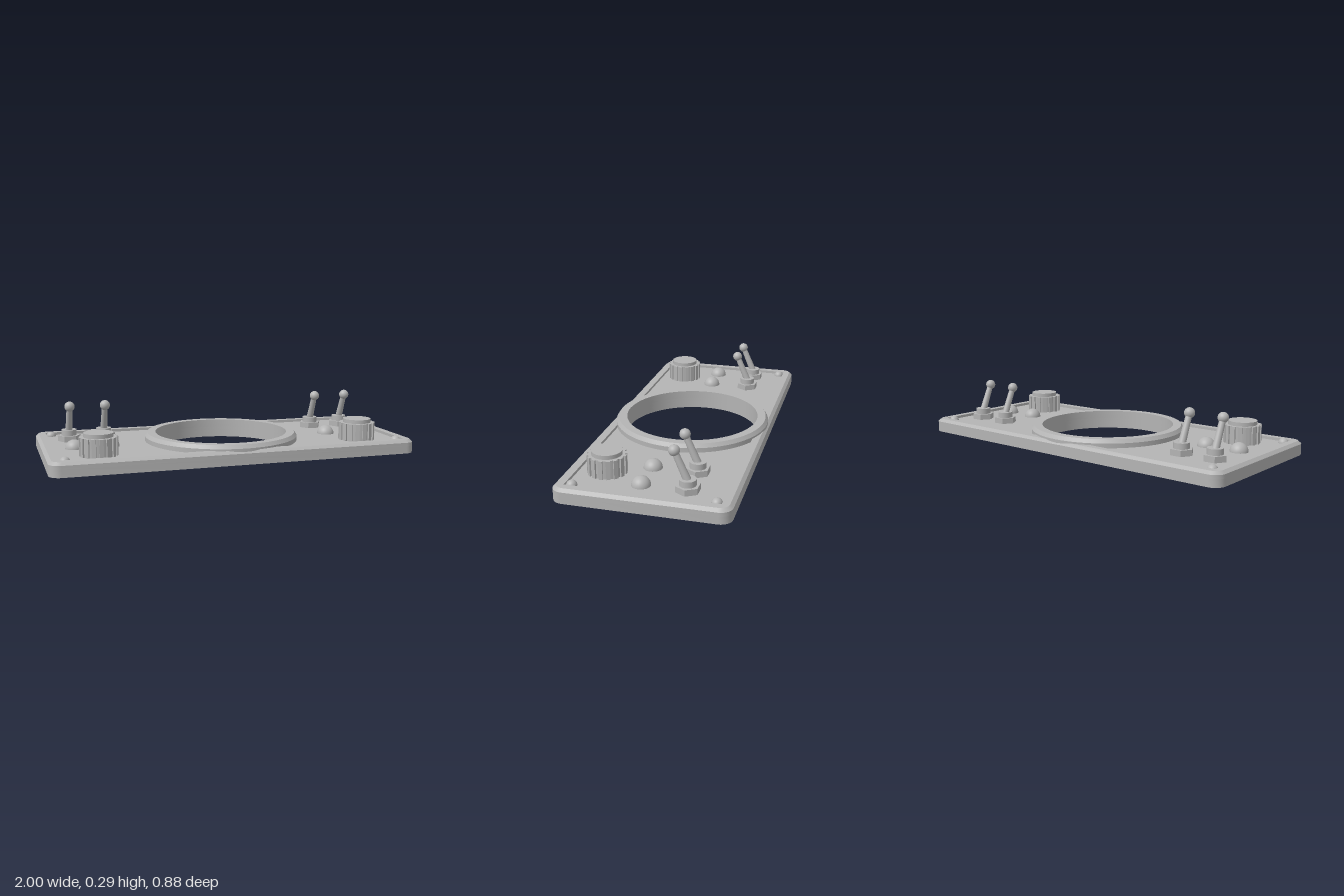
import * as THREE from 'three';
import { toCreasedNormals } from 'three/addons/utils/BufferGeometryUtils.js';

const metal = new THREE.MeshStandardMaterial({ color: 0xb4b4b4 });
metal.name = 'grey metal';

const FLOOR = 0.06; // recessed face of the panel
const HOLE = 0.37; // radius of the central opening

function add(parent, name, geometry, x = 0, y = 0, z = 0) {
  const mesh = new THREE.Mesh(geometry, metal);
  mesh.name = name;
  mesh.position.set(x, y, z);
  parent.add(mesh);
  return mesh;
}

// Rounded rectangle outline, counted the same for every radius
function outline(hx, hz, r) {
  const points = [];
  const signs = [[1, 1], [-1, 1], [-1, -1], [1, -1]];
  signs.forEach(([sx, sz], corner) => {
    for (let i = 0; i <= 8; i++) {
      const a = (corner + i / 8) * Math.PI / 2;
      points.push(new THREE.Vector2(sx * (hx - r) + r * Math.cos(a), sz * (hz - r) + r * Math.sin(a)));
    }
  });
  return points;
}

// Flat slab with round holes, given as [x, radius]
function slab(height, holes) {
  const shape = new THREE.Shape(outline(1, 0.438, 0.06));
  for (const [x, r] of holes) {
    shape.holes.push(new THREE.Path().absarc(x, 0, r, 0, Math.PI * 2, true));
  }
  const geometry = new THREE.ExtrudeGeometry(shape, { depth: height, bevelEnabled: false, curveSegments: 72 });
  return toCreasedNormals(geometry.rotateX(-Math.PI / 2), 0.4);
}

// Skin through closed outlines, each at its own height
function loft(sections) {
  const n = sections[0].points.length;
  const positions = [];
  const index = [];
  for (const { points, y } of sections) for (const p of points) positions.push(p.x, y, p.y);
  for (let k = 0; k < sections.length - 1; k++) {
    for (let i = 0; i < n; i++) {
      const a = k * n + i, b = k * n + (i + 1) % n;
      index.push(a, a + n, b, b, a + n, b + n);
    }
  }
  const geometry = new THREE.BufferGeometry();
  geometry.setAttribute('position', new THREE.Float32BufferAttribute(positions, 3));
  geometry.setIndex(index);
  geometry.computeVertexNormals();
  return toCreasedNormals(geometry, 0.4);
}

function dome(r) {
  return new THREE.SphereGeometry(r, 28, 12, 0, Math.PI * 2, 0, Math.PI / 2);
}

function knob() {
  const group = new THREE.Group();
  group.name = 'knob';
  const height = 0.097;
  add(group, 'knobBody', new THREE.CylinderGeometry(0.092, 0.092, height, 48), 0, height / 2, 0);
  add(group, 'knobCap', new THREE.CylinderGeometry(0.077, 0.077, 0.021, 48), 0, height + 0.0105, 0);
  // Grip ribs
  for (let i = 0; i < 16; i++) {
    const a = i / 16 * Math.PI * 2;
    const rib = add(group, 'knobRib', new THREE.BoxGeometry(0.02, height, 0.021),
      Math.cos(a) * 0.09, height / 2, Math.sin(a) * 0.09);
    rib.rotation.y = -a;
  }
  return group;
}

function toggleSwitch() {
  const group = new THREE.Group();
  group.name = 'toggleSwitch';
  // Hex nut with its points along x
  const nut = new THREE.CylinderGeometry(0.063, 0.063, 0.032, 6).toNonIndexed();
  nut.rotateY(Math.PI / 2);
  nut.computeVertexNormals();
  add(group, 'nut', nut, 0, 0.016, 0);
  add(group, 'collar', new THREE.CylinderGeometry(0.042, 0.042, 0.031, 32), 0, 0.0475, 0);
  // Lever leaning towards the front
  const base = new THREE.Vector3(0, 0.05, 0);
  const tip = new THREE.Vector3(0, 0.201, 0.066);
  const along = tip.clone().sub(base);
  const lever = add(group, 'lever', new THREE.CylinderGeometry(0.016, 0.02, along.length(), 20));
  lever.position.copy(base).add(tip).multiplyScalar(0.5);
  lever.quaternion.setFromUnitVectors(new THREE.Vector3(0, 1, 0), along.normalize());
  add(group, 'leverTip', new THREE.SphereGeometry(0.028, 24, 16), 0, tip.y, tip.z);
  return group;
}

export function createModel() {
  const model = new THREE.Group();
  model.name = 'controlPanel';

  // Panel: lower layer has two blind mounting pockets
  add(model, 'panelBase', slab(0.04, [[0, HOLE], [-0.53, 0.085], [0.53, 0.085]]));
  add(model, 'panelFace', slab(0.02, [[0, HOLE]]), 0, 0.04, 0);

  // Chamfered rim around the recessed face
  add(model, 'panelRim', loft([
    { points: outline(1, 0.438, 0.06), y: FLOOR },
    { points: outline(0.983, 0.421, 0.045), y: 0.075 },
    { points: outline(0.945, 0.383, 0.001), y: 0.075 },
    { points: outline(0.945, 0.383, 0.001), y: FLOOR },
  ]));

  // Bezel around the opening
  const bezel = [[0.43, FLOOR], [0.43, 0.085], [0.416, 0.105], [HOLE, 0.105], [HOLE, FLOOR]]
    .map(([r, y]) => new THREE.Vector2(r, y));
  add(model, 'bezel', toCreasedNormals(new THREE.LatheGeometry(bezel, 72), 0.4));

  // Mirrored controls
  for (const side of [-1, 1]) {
    const dial = knob();
    dial.position.set(side * 0.73, FLOOR, 0.242);
    model.add(dial);
    for (const x of [0.635, 0.83]) {
      const toggle = toggleSwitch();
      toggle.position.set(side * x, FLOOR, -0.195);
      model.add(toggle);
      add(model, 'indicatorLamp', dome(0.048), side * x, FLOOR, 0.036);
    }
    for (const z of [-0.355, 0.355]) add(model, 'screwHead', dome(0.027), side * 0.915, FLOOR, z);
  }
  return model;
}
